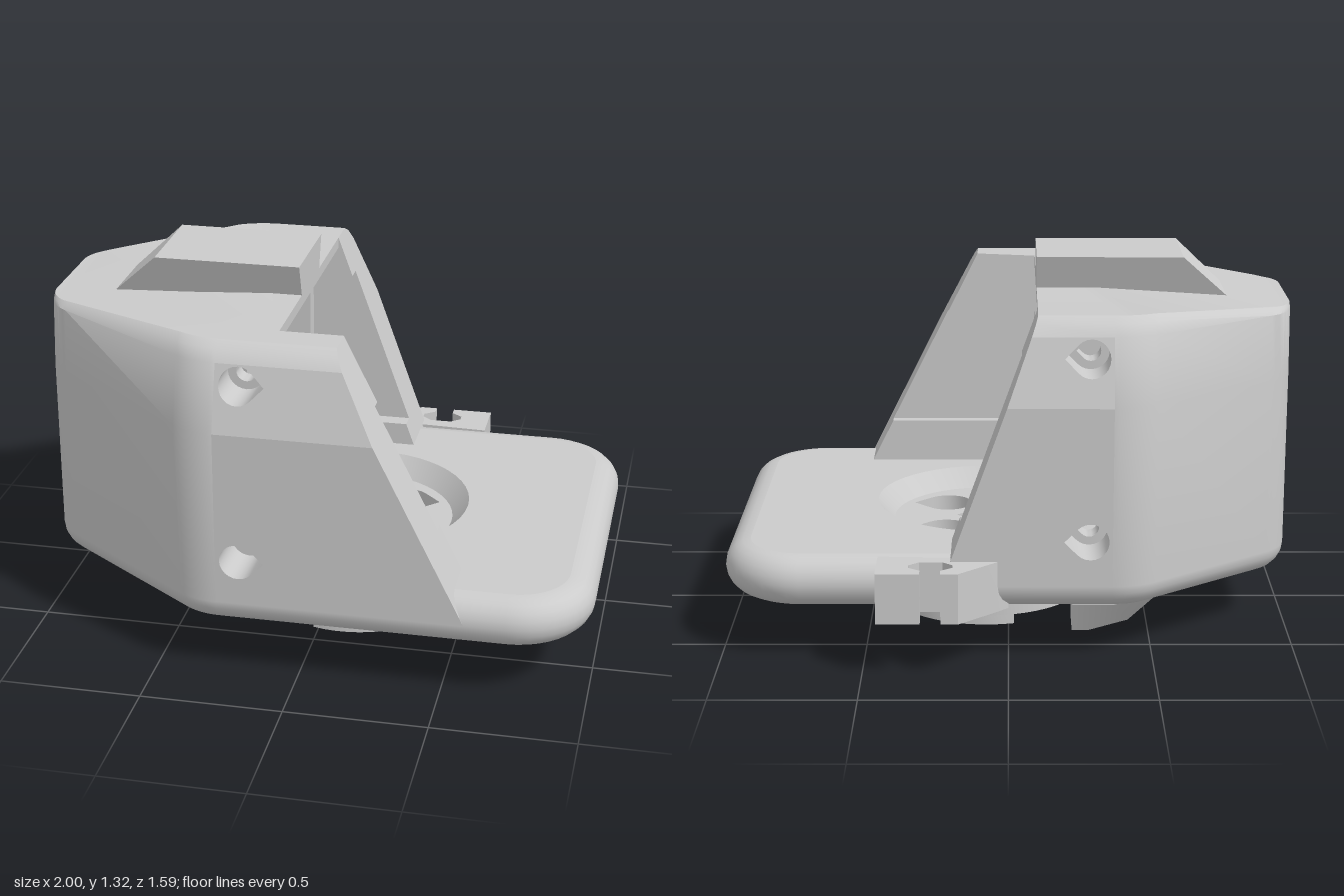
import * as THREE from 'three';
import { toCreasedNormals } from 'three/addons/utils/BufferGeometryUtils.js';

const V = (x, y) => new THREE.Vector2(x, y);
const CZ = 0.058, HALF = 0.735, HX = 0.08, HZ = 0.06, ARC = 10;
const mat = new THREE.MeshStandardMaterial({ color: 0xcccccc, side: THREE.DoubleSide });

function add(group, name, geo) {
  const mesh = new THREE.Mesh(toCreasedNormals(geo, 0.6), mat);
  mesh.name = name;
  group.add(mesh);
}

// Footprint corners: x, z, radius
const CORNERS = [[1, CZ + HALF, 0.28], [-0.36, CZ + HALF, 0.25], [-1, 0.33, 0.2],
  [-1, -0.25, 0.2], [-0.44, CZ - HALF, 0.25], [1, CZ - HALF, 0.28]];

// Rounded arc points for each footprint corner, moved inward by inset
function arcs(inset = 0) {
  return CORNERS.map(([x, z, r], i) => {
    const at = (k) => V(...CORNERS[(i + k + 6) % 6].slice(0, 2));
    const p = V(x, z);
    const d1 = at(-1).sub(p).normalize(), d2 = at(1).sub(p).normalize();
    const half = Math.acos(d1.dot(d2)) / 2;
    const c = d1.clone().add(d2).normalize().multiplyScalar(r / Math.sin(half)).add(p);
    const t1 = p.clone().addScaledVector(d1, r / Math.tan(half)).sub(c);
    const t2 = p.clone().addScaledVector(d2, r / Math.tan(half)).sub(c);
    const a0 = t1.angle();
    let da = t2.angle() - a0;
    da = Math.atan2(Math.sin(da), Math.cos(da));
    return Array.from({ length: ARC + 1 }, (_, k) => {
      const a = a0 + da * k / ARC;
      return V(c.x + (r - inset) * Math.cos(a), c.y + (r - inset) * Math.sin(a));
    });
  });
}

// Surface between rows of 3D points; skip(row, column) leaves gaps
function loft(rows, skip = () => false) {
  const n = rows[0].length, idx = [];
  for (let j = 0; j < rows.length - 1; j++) for (let i = 0; i < n - 1; i++) {
    if (skip(j, i)) continue;
    const a = j * n + i, b = a + n;
    idx.push(a, a + 1, b + 1, a, b + 1, b);
  }
  const geo = new THREE.BufferGeometry();
  geo.setAttribute('position', new THREE.Float32BufferAttribute(rows.flat(2), 3));
  geo.setIndex(idx);
  geo.computeVertexNormals();
  return geo;
}

function shapeOf(pts, holes = []) {
  const s = new THREE.Shape(pts);
  s.holes = holes.map((h) => new THREE.Path(h));
  return s;
}

// Flat shape placed in space by map(u, v) -> [x, y, z]
function face(pts, holes, map) {
  const geo = new THREE.ShapeGeometry(shapeOf(pts, holes));
  const p = geo.attributes.position;
  for (let i = 0; i < p.count; i++) p.setXYZ(i, ...map(p.getX(i), p.getY(i)));
  geo.computeVertexNormals();
  return geo;
}

const tube = (pts, mapA, mapB) => {
  const loop = [...pts, pts[0]];
  return loft([loop.map((p) => mapA(p.x, p.y)), loop.map((p) => mapB(p.x, p.y))]);
};

// Horizontal slab of an (x, z) shape
function slab(shape, y0, y1) {
  const geo = new THREE.ExtrudeGeometry(shape, { depth: y1 - y0, bevelEnabled: false });
  return geo.rotateX(Math.PI / 2).translate(0, y1, 0);
}

function circle(x, y, r, n = 40, from = 0, sweep = Math.PI * 2) {
  const last = sweep > 6.28 ? n : n - 1;
  return Array.from({ length: n }, (_, i) => {
    const a = from + sweep * i / last;
    return V(x + r * Math.cos(a), y + r * Math.sin(a));
  });
}

const teardrop = (x, y, r) =>
  [...circle(x, y, r, 19, Math.PI / 4, Math.PI * 1.5), V(x + r * 1.414, y)];

// Box whose bottom and top rectangles [x0, x1, z0, z1] differ
function taperBox(bottom, top, y0, y1) {
  const geo = new THREE.BoxGeometry(1, 1, 1), p = geo.attributes.position;
  for (let i = 0; i < p.count; i++) {
    const up = p.getY(i) > 0, q = up ? top : bottom;
    p.setXYZ(i, p.getX(i) < 0 ? q[0] : q[1], up ? y1 : y0, p.getZ(i) < 0 ? q[2] : q[3]);
  }
  geo.computeVertexNormals();
  return geo;
}

// Body levels: height, width factor, share of the roof's fall to the rear
const LEVELS = [[0.28, 1, 0], [0.91, 1, 0], [1.14, 0.91, 0], [1.18, 0.87, 0.75], [1.2, 0.82, 1]];
const fall = (x) => 0.04 * THREE.MathUtils.clamp((-0.5 - x) / 0.45, 0, 1);
function widthAt(y) {
  let i = 1;
  while (i < LEVELS.length - 1 && y > LEVELS[i][0]) i++;
  const [a, b] = [LEVELS[i - 1], LEVELS[i]];
  return a[1] + (b[1] - a[1]) * (y - a[0]) / (b[0] - a[0]);
}

const SIDES = [
  { name: 'front', s: 1, inner: 0.55, pocket: 0.59, mid: 0.615, holeX: -0.2, arc: 1, end: 0,
    edge: (y) => 0.12 + 0.5 * (1.2 - y), notch: [-0.1, 0.53, 0.97] },
  { name: 'back', s: -1, inner: -0.43, pocket: -0.49, mid: -0.51, holeX: -0.28, arc: 4, end: ARC,
    edge: (y) => -0.1 + 0.36 * (1.2 - y), notch: [-0.21, 0.455, 1.05] },
];
const REAR = -0.38;

function buildBasePlate(g) {
  const rows = [];
  for (let i = 0; i <= 10; i++) {
    const a = -Math.PI / 2 + Math.PI * i / 10;
    const ring = arcs(0.09 * (1 - Math.cos(a))).flat();
    rows.push([...ring, ring[0]].map((p) => [p.x, 0.28 + 0.09 * Math.sin(a), p.y]));
  }
  add(g, 'basePlateRim', loft(rows));
  const cap = arcs(0.09).flat();
  add(g, 'basePlateTop', face(cap, [circle(HX, HZ, 0.405, 48)], (x, z) => [x, 0.37, z]));
  add(g, 'basePlateBottom', face(cap, [circle(HX, HZ, 0.34, 48)], (x, z) => [x, 0.19, z]));
  // Keyhole clip on the back edge
  const half = [[0.035, -0.8], [0.035, -0.765], [0.075, -0.735], [0.075, -0.71], [0.04, -0.68]];
  const slot = [...half.map(([x, z]) => V(0.265 - x, z)),
    ...half.slice().reverse().map(([x, z]) => V(0.265 + x, z))];
  add(g, 'backClip', slab(shapeOf([V(0, -0.64), V(0.04, -0.68), V(0.17, -0.8), ...slot,
    V(0.45, -0.8), V(0.45, -0.62)]), 0.19, 0.37));
}

function buildHub(g) {
  add(g, 'hubFunnel', tube(circle(0, 0, 1, 48), (x, z) => [HX + 0.405 * x, 0.37, HZ + 0.405 * z],
    (x, z) => [HX + 0.345 * x, 0.3, HZ + 0.345 * z]));
  // Floor in two layers, so the four outer holes are counterbored
  const holes = (r) => [teardrop(HX, HZ, 0.08), ...[[-1, -1], [1, -1], [-1, 1], [1, 1]]
    .map(([i, j]) => teardrop(HX + i * 0.15, HZ + j * 0.15, r))];
  add(g, 'hubFloorUpper', slab(shapeOf(circle(HX, HZ, 0.35, 48), holes(0.09)), 0.12, 0.3));
  add(g, 'hubFloorLower', slab(shapeOf(circle(HX, HZ, 0.35, 48), holes(0.05)), 0.05, 0.12));
  const outer = circle(HX, HZ, 0.365, 48).map((p) => V(Math.max(p.x, -0.26), p.y));
  add(g, 'hubRing', slab(shapeOf(outer, [circle(HX, HZ, 0.325, 48)]), 0.035, 0.2));
  const a = Math.acos(-0.1 / 0.365);
  add(g, 'hubRim', slab(shapeOf([...circle(HX, HZ, 0.365, 32, -a, 2 * a),
    ...circle(HX, HZ, 0.325, 32, a, -2 * a)]), 0, 0.035));
  add(g, 'hubRamp', taperBox([-0.26, -0.24, -0.1, 0.21], [-0.45, -0.24, -0.1, 0.21], 0.035, 0.2));
  // Prong whose outer side follows the slanted plate edge
  const low = [V(-0.42, -0.43), V(-0.42, -0.49), V(-0.28, -0.59), V(-0.22, -0.59), V(-0.22, -0.43)];
  const high = [V(-0.52, -0.43), V(-0.52, -0.53), V(-0.36, -0.64), V(-0.22, -0.64), V(-0.22, -0.43)];
  add(g, 'lowerProng', loft([[low, 0.09], [high, 0.2]]
    .map(([pts, y]) => [...pts, pts[0]].map((p) => [p.x, y, p.y]))));
  add(g, 'lowerProngEnd', face(low, [], (x, z) => [x, 0.09, z]));
}

function buildHousing(g) {
  const bodyArcs = arcs();
  const path = bodyArcs.slice(1, 5).flat();
  const rows = LEVELS.map(([y, k, w]) => [V(SIDES[0].edge(y), CZ + HALF), ...path,
    V(SIDES[1].edge(y), CZ - HALF)].map((p) => [p.x, y - w * fall(p.x), CZ + (p.y - CZ) * k]));
  const last = rows[0].length - 2, rear = 2 * ARC + 2;
  add(g, 'housingShell', loft(rows, (j, i) => (j < 2 && (i === 0 || i === last)) || (j === 0 && i === rear)));

  // Rear panel with its round port into the cavity
  const port = circle(CZ - 0.005, 0.75, 0.153);
  const z0 = bodyArcs[2][ARC].y, z1 = bodyArcs[3][0].y;
  add(g, 'rearPanel', face([V(z0, 0.28), V(z0, 0.91), V(z1, 0.91), V(z1, 0.28)], [port], (z, y) => [-1, y, z]));
  add(g, 'rearPort', tube(port, (z, y) => [-1, y, z], (z, y) => [REAR, y, z]));
  add(g, 'cavityRearWall', face([V(-0.43, 0.37), V(0.55, 0.37), V(0.55, 1.14), V(-0.43, 1.14)],
    [port], (z, y) => [REAR, y, z]));

  // Roof, ceiling and the roof's open edge
  add(g, 'roof', face([...rows[4].map((p) => V(p[0], p[2])), V(-0.1, 0.55), V(0.12, 0.55)], [],
    (x, z) => [x, 1.2 - fall(x), z]));
  add(g, 'ceiling', loft([[REAR, 1.135], [-0.1, 1.16], [-0.1, 1.2]]
    .map(([x, y]) => [[x, y, -0.43], [x, y, 0.55]])));

  // Side walls: outer panels, stepped bores, sloped ends and pocketed lining
  for (const w of SIDES) {
    const out = (x, y) => [x, y, CZ + w.s * HALF * widthAt(y)];
    const at = (z) => (x, y) => [x, y, z];
    const xs = bodyArcs[w.arc][w.end].x;
    const ys = [0.44, 1.07];
    const small = ys.map((y) => teardrop(w.holeX, y, 0.035));
    ys.forEach((y, i) => {
      const lo = LEVELS[i][0], hi = LEVELS[i + 1][0], big = teardrop(w.holeX, y, 0.064);
      add(g, w.name + 'Panel', face([V(xs, lo), V(w.edge(lo), lo), V(w.edge(hi), hi), V(xs, hi)], [big], out));
      add(g, w.name + 'Counterbore', tube(big, out, at(w.mid)));
      add(g, w.name + 'BoreStep', face(big, [small[i]], at(w.mid)));
      add(g, w.name + 'Bore', tube(small[i], at(w.mid), at(w.pocket)));
    });
    add(g, w.name + 'WallEnd', loft(LEVELS.map(([y]) => [[w.edge(y), y, w.pocket], out(w.edge(y), y)])));
    const corner = (y) => V(w.edge(y), y);
    const [nx, n0, n1] = w.notch;
    add(g, w.name + 'PocketFloor', face([V(REAR, 0.37), corner(0.37), corner(1.2), V(REAR, 1.18)],
      small, at(w.pocket)));
    const lining = new THREE.ExtrudeGeometry(shapeOf([V(REAR, 0.37), corner(0.37), corner(n0),
      V(nx, n0), V(nx, n1), corner(n1), corner(1.2), V(REAR, 1.18)], small),
    { depth: Math.abs(w.pocket - w.inner), bevelEnabled: false });
    add(g, w.name + 'Lining', lining.translate(0, 0, Math.min(w.pocket, w.inner)));
  }
  add(g, 'dovetailRail', taperBox([-0.79, -0.1, -0.07, 0.19], [-0.62, -0.1, -0.123, 0.243], 1.16, 1.317));
}

export function createModel() {
  const group = new THREE.Group();
  group.name = 'mountHousing';
  for (const [name, build] of [['base', buildBasePlate], ['hub', buildHub], ['housing', buildHousing]]) {
    const part = new THREE.Group();
    part.name = name;
    build(part);
    group.add(part);
  }
  return group;
}
